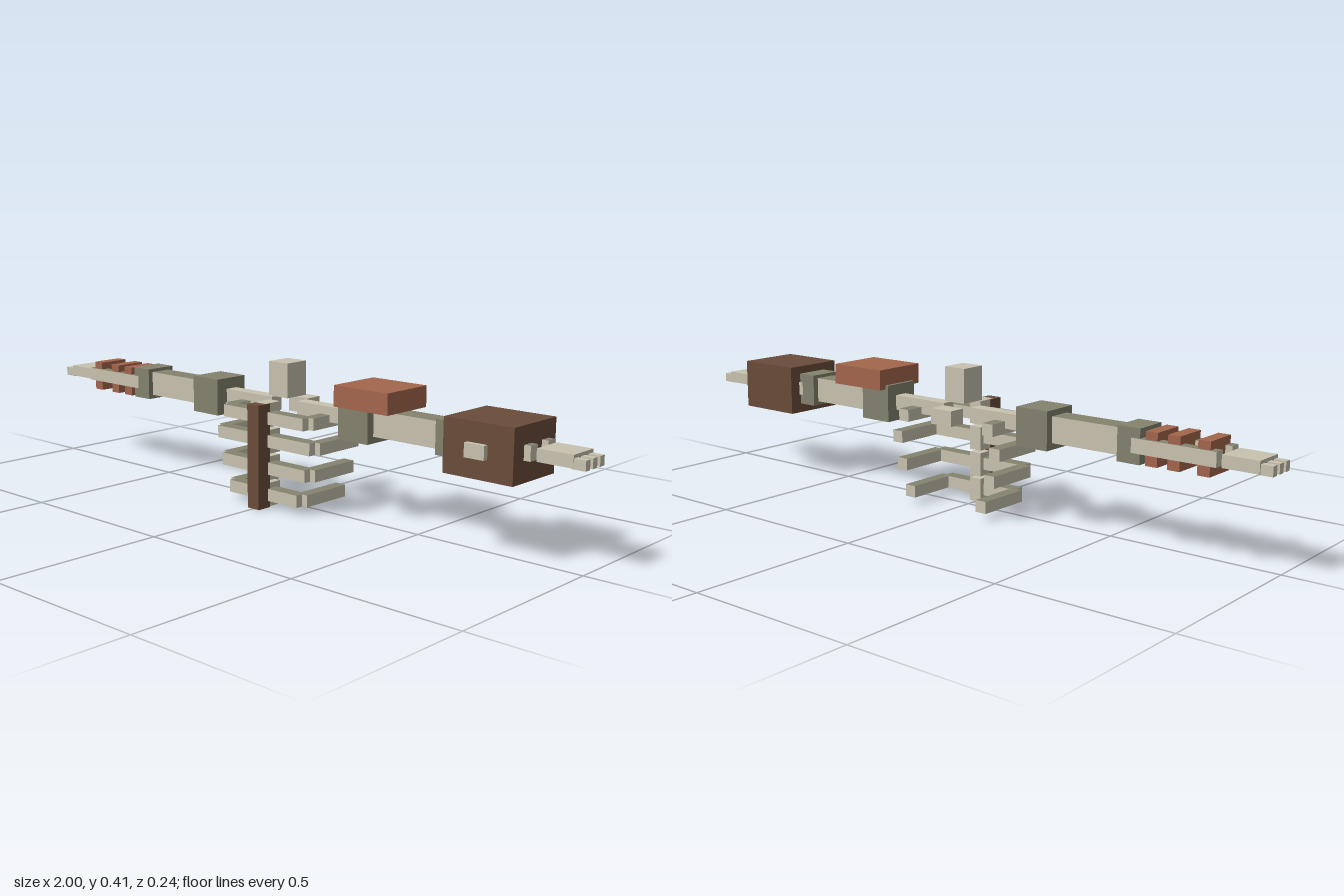
import * as THREE from 'three';

export function createModel() {
  const model = new THREE.Group();
  model.name = 'skeletonTorso';

  const mat = (name, color) => {
    const m = new THREE.MeshStandardMaterial({ color });
    m.name = name;
    return m;
  };
  const bone = mat('bone', 0xc9c3af);
  const agedBone = mat('agedBone', 0x84836f);
  const darkLeather = mat('darkLeather', 0x6a4c3a);
  const rust = mat('rust', 0xa4664d);
  // Bone with a weathered top face
  const weathered = [bone, bone, agedBone, bone, bone, bone];

  // Box from its limits on each axis
  const box = (parent, name, material, [x0, x1], [y0, y1], [z0, z1]) => {
    const mesh = new THREE.Mesh(new THREE.BoxGeometry(x1 - x0, y1 - y0, z1 - z0), material);
    mesh.position.set((x0 + x1) / 2, (y0 + y1) / 2, (z0 + z1) / 2);
    mesh.name = name;
    parent.add(mesh);
    return mesh;
  };
  // Same box, placed on the given side (+1 left, -1 right)
  const sided = (parent, side, name, material, [a, b], y, z) =>
    box(parent, name, material, side > 0 ? [a, b] : [-b, -a], y, z);

  const group = (name) => {
    const g = new THREE.Group();
    g.name = name;
    model.add(g);
    return g;
  };

  // Spine: stacked vertebrae with a dark ridge behind them
  const spine = group('spine');
  for (let i = 0; i < 4; i++) {
    const y = 0.002 + i * 0.078;
    box(spine, 'vertebra', bone, [-0.02, 0.02], [y, y + 0.07], [0.031, 0.089]);
  }
  box(spine, 'spineRidge', darkLeather, [-0.022, 0.022], [0, 0.305], [0.075, 0.122]);

  // Rib cage: a cross bar and two side arms per rib
  const ribs = group('ribCage');
  [[0.02, 0.152], [0.098, 0.182], [0.178, 0.2], [0.245, 0.175]].forEach(([y, w]) => {
    const ys = [y, y + 0.036];
    box(ribs, 'ribBar', weathered, [-w + 0.018, w - 0.018], ys, [0.045, 0.084]);
    for (const s of [-1, 1]) {
      sided(ribs, s, 'ribArm', weathered, [w - 0.036, w], [y + 0.0005, y + 0.0355], [-0.107, 0.06]);
    }
  });

  // Neck and breastbone
  box(model, 'neck', bone, [-0.036, 0.036], [0.314, 0.415], [-0.062, 0.017]);
  box(model, 'breastbone', bone, [-0.037, 0.037], [0.257, 0.302], [-0.122, -0.068]);

  // Arms
  for (const s of [-1, 1]) {
    const arm = group(s > 0 ? 'leftArm' : 'rightArm');
    sided(arm, s, 'collarbone', bone, [0.05, 0.245], [0.26, 0.304], [-0.05, -0.009]);
    sided(arm, s, 'shoulder', agedBone, [0.24, 0.345], [0.227, 0.337], [-0.085, 0.03]);
    sided(arm, s, 'upperArm', weathered, [0.34, 0.57], [0.246, 0.32], [-0.062, 0.005]);
    sided(arm, s, 'elbow', agedBone, [0.565, 0.634], [0.234, 0.33], [-0.08, 0.021]);
    for (const z of [-0.085, -0.005]) {
      sided(arm, s, 'forearmBone', weathered, [0.61, 0.855], [0.264, 0.304], [z, z + 0.031]);
    }
    sided(arm, s, 'palm', bone, [0.865, 0.967], [0.264, 0.298], [-0.077, 0.015]);
    for (const z of [-0.067, -0.033, 0]) {
      sided(arm, s, 'finger', bone, [0.96, 1], [0.262, 0.289], [z - 0.006, z + 0.014]);
    }
  }

  // Rusted bands on the right forearm
  const bands = group('forearmBands');
  for (const x of [0.65, 0.715, 0.8]) {
    sided(bands, -1, 'band', rust, [x, x + 0.035], [0.235, 0.326], [-0.079, 0.021]);
  }

  // Shoulder plate and heavy gauntlet on the left arm
  box(model, 'shoulderPlate', rust, [0.25, 0.437], [0.325, 0.385], [-0.108, 0.061]);
  box(model, 'gauntlet', darkLeather, [0.626, 0.836], [0.206, 0.353], [-0.118, 0.071]);
  box(model, 'gauntletStud', bone, [0.7, 0.76], [0.261, 0.299], [0.06, 0.086]);

  return model;
}
